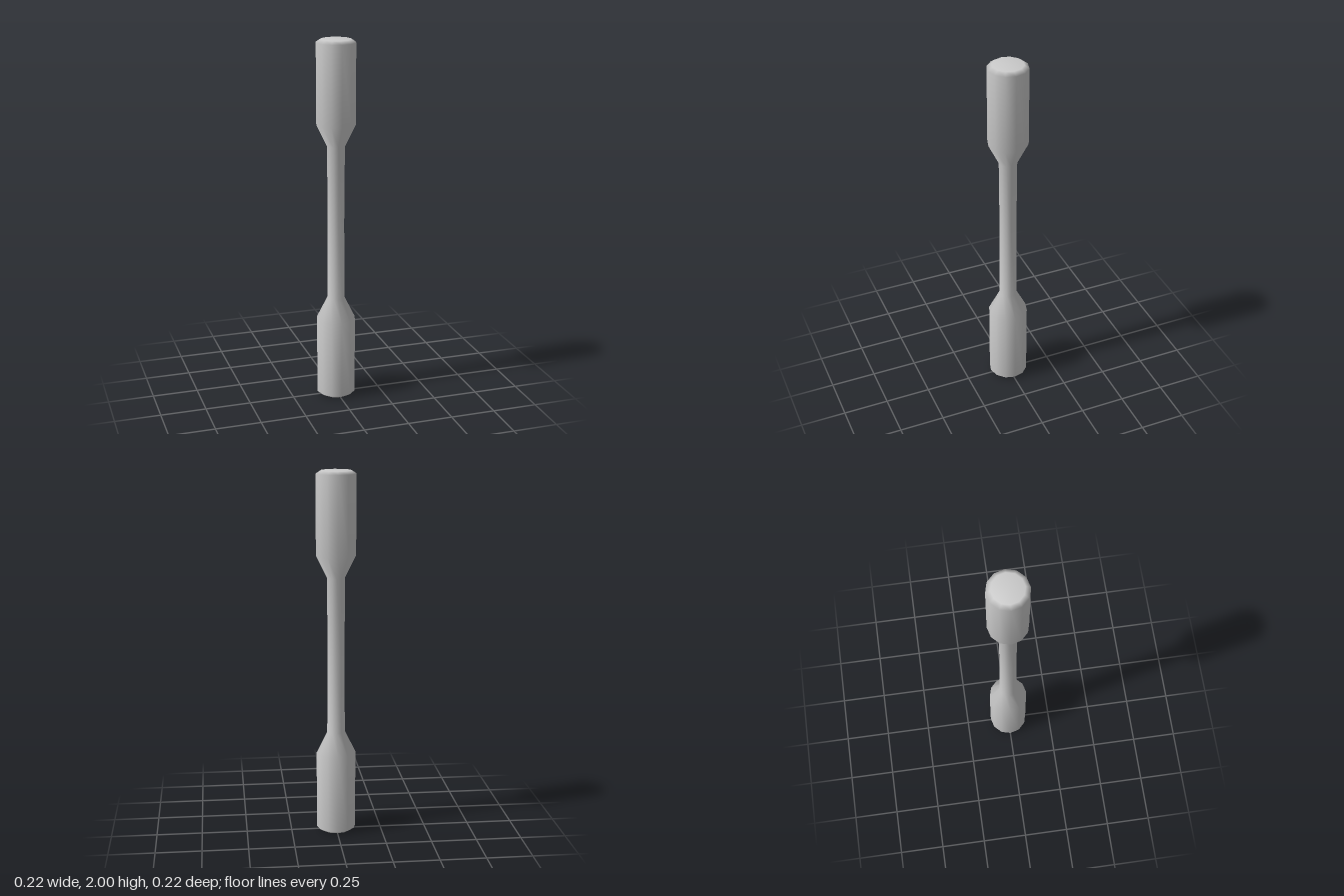
import * as THREE from 'three';

const SIDES = 12;

// Revolves a list of [radius, height] points, running bottom to top.
function turned(name, points, material) {
  const profile = points.map(([r, y]) => new THREE.Vector2(r, y));
  const mesh = new THREE.Mesh(new THREE.LatheGeometry(profile, SIDES), material);
  mesh.name = name;
  return mesh;
}

export function createModel() {
  const group = new THREE.Group();
  group.name = 'turnedBar';
  const material = new THREE.MeshStandardMaterial({ color: 0xcccccc });

  // Upper half: slim waist, flared shoulder, thick grip, chamfered flat end
  const half = [
    [0.049, 0.43],
    [0.108, 0.55],
    [0.108, 0.983],
    [0.083, 1],
    [0, 1],
  ];

  // Mirror the half about the middle to get the full profile
  const lower = half.map(([r, y]) => [r, 1 - y]).reverse();
  const upper = half.map(([r, y]) => [r, 1 + y]);
  group.add(turned('bar', [...lower, [0.046, 1], ...upper], material));

  return group;
}
